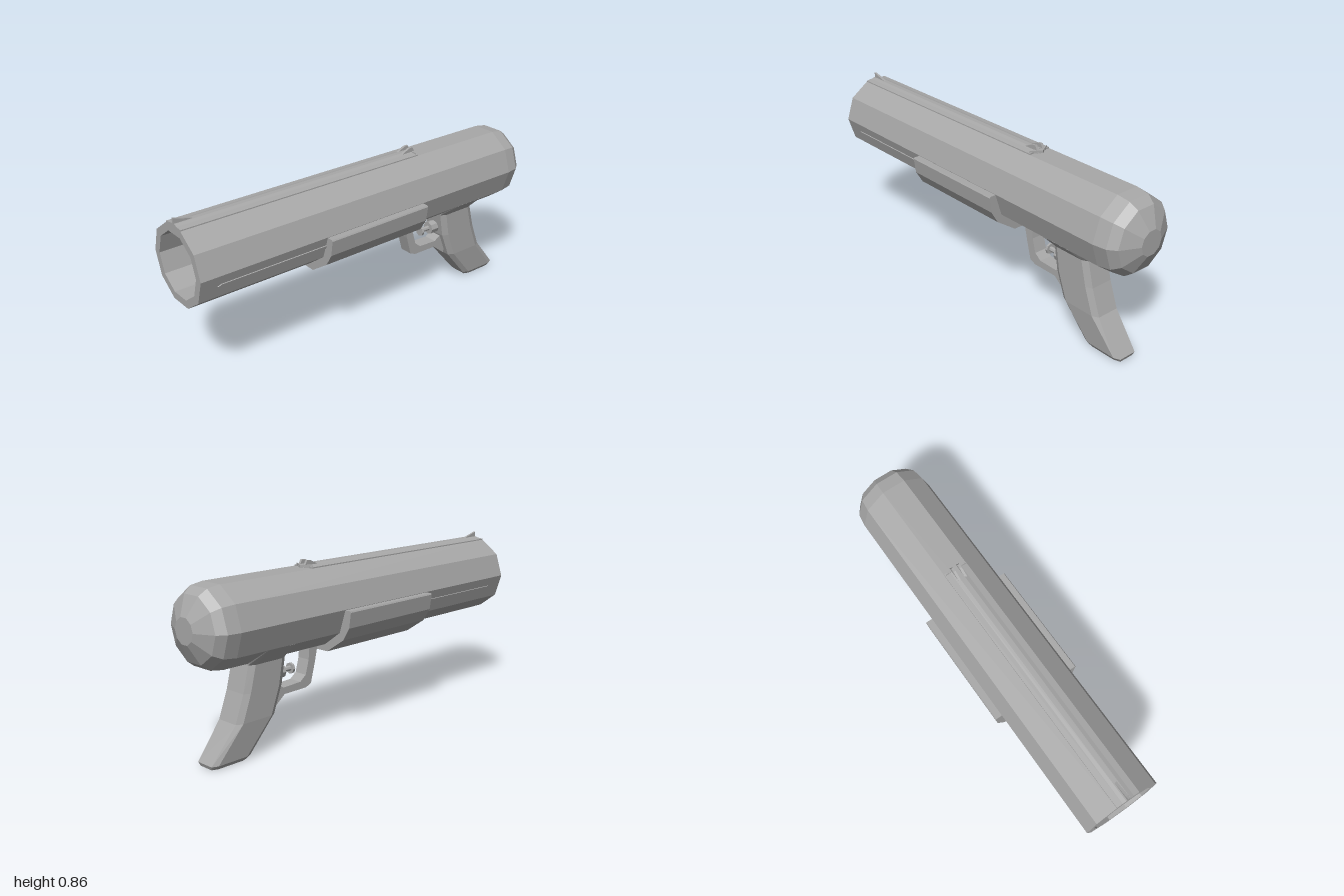
import * as THREE from 'three';

const grey = new THREE.MeshStandardMaterial({ color: 0xa8a8a8 });
grey.name = 'grey';

// Faceted mesh with one normal per face
function part(name, geometry) {
  const flat = geometry.index ? geometry.toNonIndexed() : geometry;
  flat.computeVertexNormals();
  const mesh = new THREE.Mesh(flat, grey);
  mesh.name = name;
  return mesh;
}

const polygon = (pts) => new THREE.Shape(pts.map(([a, b]) => new THREE.Vector2(a, b)));

// Cross-section in x, y swept from z0 to z1
function alongZ(pts, z0, z1) {
  return new THREE.ExtrudeGeometry(polygon(pts), { depth: z1 - z0, bevelEnabled: false }).translate(0, 0, z0);
}

// Side outline in z, y given a thickness across x
function acrossX(pts, width, x = 0) {
  return new THREE.ExtrudeGeometry(polygon(pts), { depth: width, bevelEnabled: false })
    .translate(0, 0, -width / 2).rotateY(-Math.PI / 2).translate(x, 0, 0);
}

// Skin over equal-length rings of points, capped at both ends
function loft(rings) {
  const n = rings[0].length;
  const index = [];
  for (let i = 0; i < rings.length - 1; i++) {
    for (let j = 0; j < n; j++) {
      const a = i * n + j, b = i * n + (j + 1) % n;
      index.push(a, b, b + n, a, b + n, a + n);
    }
  }
  const last = (rings.length - 1) * n;
  for (let j = 1; j < n - 1; j++) index.push(0, j + 1, j, last, last + j, last + j + 1);
  const g = new THREE.BufferGeometry();
  g.setAttribute('position', new THREE.Float32BufferAttribute(rings.flat(2), 3));
  g.setIndex(index);
  return g;
}

// Mirror an open run of x, y points into a closed outline
const mirrored = (pts) => [...pts, ...pts.map(([x, y]) => [-x, y]).reverse()];

export function createModel() {
  const model = new THREE.Group();

  // Ten-sided tube with a rounded rear and a deep bore
  const profile = [[0, -1], [0.062, -1], [0.155, -0.955], [0.185, -0.915], [0.195, -0.85],
    [0.195, 1], [0.157, 1], [0.157, -0.85], [0, -0.85]].map(([r, z]) => new THREE.Vector2(r, z));
  model.add(part('tube', new THREE.LatheGeometry(profile, 10, Math.PI / 2)
    .rotateX(Math.PI / 2).translate(0, 0.63, 0)));

  // Handguard shell wrapped around the lower half
  const outer = [[0.073, 0.411], [0.18, 0.483], [0.218, 0.545], [0.229, 0.621], [0.225, 0.628]];
  const inner = [[0.192, 0.628], [0.156, 0.517], [0.06, 0.447]];
  model.add(part('handguard', alongZ(mirrored([...outer, ...inner]), -0.24, 0.345)));

  // Side strips ahead of the handguard
  for (const side of [1, -1]) {
    const strip = part('sideStrip', acrossX([[0.34, -0.009], [0.895, -0.009], [0.915, 0],
      [0.895, 0.009], [0.34, 0.009]], 0.008));
    strip.position.set(side * 0.178, 0.576, 0);
    strip.rotation.z = -side * Math.PI / 10;
    model.add(strip);
  }

  // Top rail and sights
  model.add(part('topRail', alongZ(mirrored([[0.06, 0.808], [0.06, 0.821], [0.03, 0.825], [0.012, 0.83]]), -0.32, 1)));
  model.add(part('frontSight', acrossX([[0.89, 0.825], [1, 0.825], [1, 0.855], [0.985, 0.85]], 0.012)));
  const sight = new THREE.Group();
  sight.name = 'rearSight';
  for (const x of [-0.017, 0.017]) {
    sight.add(part('sightFin', acrossX([[-0.245, 0.825], [-0.295, 0.848], [-0.315, 0.85],
      [-0.335, 0.815], [-0.3, 0.81]], 0.012, x)));
  }
  sight.add(part('sightBase', loft([0.812, 0.829].map((y) =>
    [[-0.055, y, -0.31], [0.055, y, -0.31], [0, y, -0.343]]))));
  model.add(sight);

  // Grip: chamfered sections, flaring out where it meets the tube
  const sections = [ // height, front z, back z, half width
    [0, -0.72, -0.915, 0.05], [0.018, -0.702, -0.922, 0.061], [0.18, -0.566, -0.79, 0.074],
    [0.31, -0.517, -0.742, 0.074], [0.435, -0.495, -0.71, 0.074], [0.515, -0.49, -0.71, 0.158]];
  model.add(part('grip', loft(sections.map(([y, f, b, w]) => {
    const n = w * 0.78, c = 0.03;
    return [[-n, y, f], [n, y, f], [w, y, f - c], [w, y, b + c],
      [n, y, b], [-n, y, b], [-w, y, b + c], [-w, y, f - c]];
  }))));

  // Trigger guard
  model.add(part('triggerGuard', acrossX([[-0.262, 0.46], [-0.285, 0.36], [-0.312, 0.262], [-0.345, 0.248],
    [-0.48, 0.246], [-0.55, 0.19], [-0.57, 0.29], [-0.52, 0.3], [-0.485, 0.279], [-0.38, 0.283],
    [-0.345, 0.31], [-0.325, 0.38], [-0.318, 0.46]], 0.07)));

  // Push trigger: button, stem and collar
  const trigger = new THREE.Group();
  trigger.name = 'trigger';
  for (const [name, radius, z0, z1] of [['button', 0.027, -0.415, -0.403],
    ['stem', 0.013, -0.47, -0.41], ['collar', 0.034, -0.53, -0.465]]) {
    trigger.add(part(name, new THREE.CylinderGeometry(radius, radius, z1 - z0, 8)
      .rotateX(Math.PI / 2).translate(0, 0.35, (z0 + z1) / 2)));
  }
  model.add(trigger);

  return model;
}
